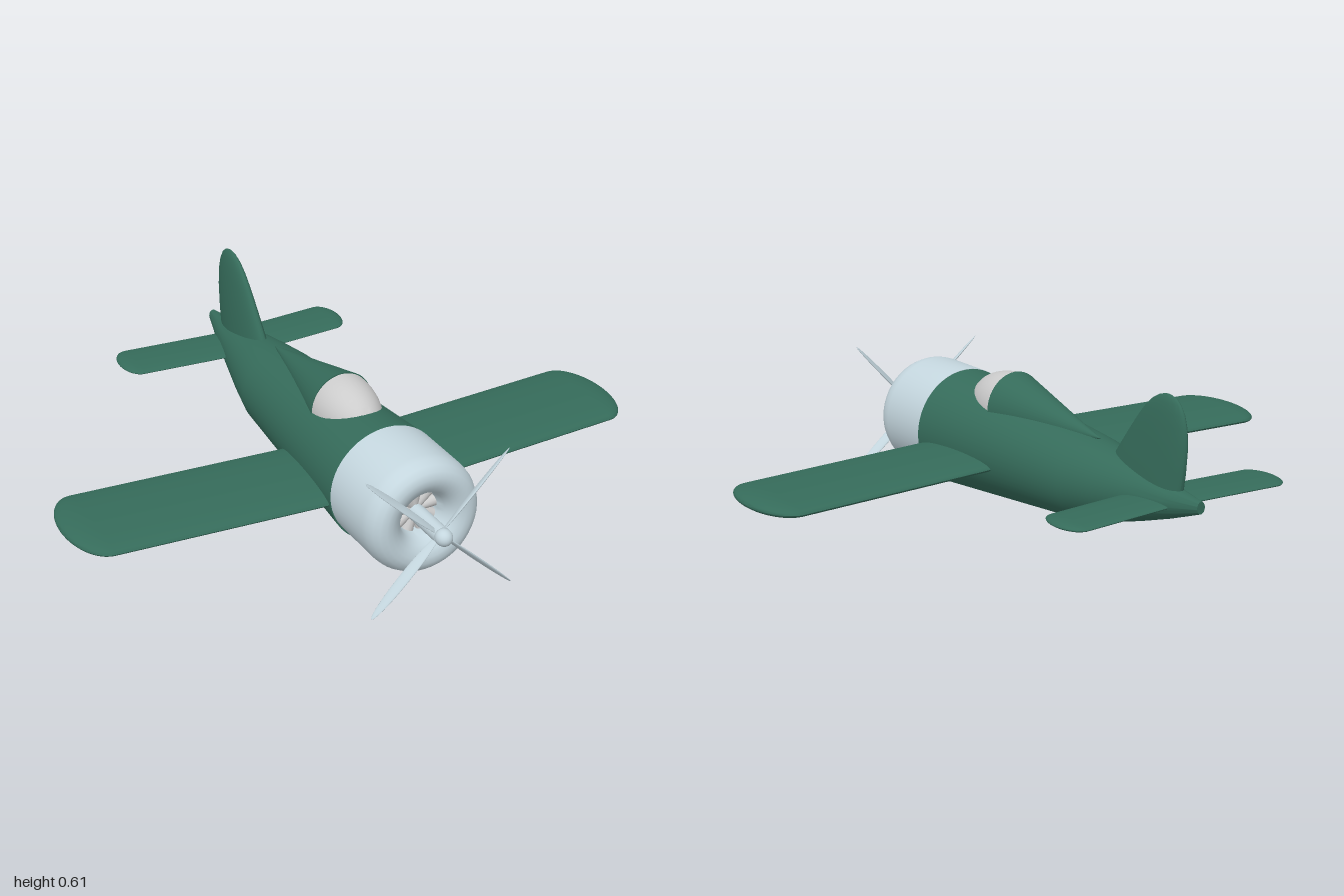
import * as THREE from 'three';
import { toCreasedNormals } from 'three/addons/utils/BufferGeometryUtils.js';

const material = (color, side = THREE.FrontSide) => new THREE.MeshStandardMaterial({ color, side });
const green = material(0x356b5a);
const metal = material(0xc4d6de, THREE.DoubleSide);
const grey = material(0xcccccc);

// Lofts ellipses along an axis: sections are [t, centreU, centreV, radiusU, radiusV],
// t increasing, with (u, v, axis) in cyclic order; both ends are capped.
function loft(axis, sections, sides = 40) {
  const first = sections[0], last = sections[sections.length - 1];
  const rings = [[first[0], first[1], first[2], 0, 0], ...sections, [last[0], last[1], last[2], 0, 0]];
  const positions = [], index = [];
  rings.forEach(([t, cu, cv, ru, rv], i) => {
    for (let j = 0; j < sides; j++) {
      const a = (j / sides) * Math.PI * 2;
      const u = cu + ru * Math.cos(a), v = cv + rv * Math.sin(a);
      positions.push(...{ x: [t, u, v], y: [v, t, u], z: [u, v, t] }[axis]);
      if (i === rings.length - 1) continue;
      const p = i * sides + j, q = i * sides + (j + 1) % sides;
      index.push(p, q, q + sides, p, q + sides, p + sides);
    }
  });
  const geometry = new THREE.BufferGeometry();
  geometry.setAttribute('position', new THREE.Float32BufferAttribute(positions, 3));
  geometry.setIndex(index);
  return toCreasedNormals(geometry, 0.7);
}

function add(parent, name, geometry, mat) {
  const mesh = new THREE.Mesh(geometry, mat);
  mesh.name = name;
  parent.add(mesh);
  return mesh;
}

// Swept surface spanning both sides, with elliptical section and rounded tips
function wingGeometry(span, tip, y, thickness, z, sweep, chord) {
  const half = [];
  for (let i = 0; i <= 12; i++) {
    const a = (i / 12) * Math.PI / 2, c = Math.cos(a);
    half.push([span - tip + tip * Math.sin(a), y, z - sweep * (span - tip), thickness / 2 * c, chord / 2 * c]);
  }
  const mirrored = half.map(([x, ...rest]) => [-x, ...rest]).reverse();
  return loft('x', [...mirrored, [0, y, z, thickness / 2, chord / 2], ...half]);
}

export function createModel() {
  const plane = new THREE.Group();
  plane.name = 'airplane';

  add(plane, 'fuselage', loft('z', [
    [-0.83, 0, 0.304, 0.015, 0.02],
    [-0.7, 0, 0.288, 0.05, 0.052],
    [-0.55, 0, 0.277, 0.087, 0.09],
    [-0.42, 0, 0.268, 0.118, 0.118],
    [-0.29, 0, 0.261, 0.145, 0.14],
    [0.44, 0, 0.2625, 0.2, 0.2025],
  ], 48), green);

  add(plane, 'wing', wingGeometry(1, 0.1, 0.232, 0.054, 0.252, 0.068, 0.385), green);
  add(plane, 'tailplane', wingGeometry(0.43, 0.055, 0.283, 0.026, -0.627, 0.08, 0.187), green)
    .position.x = -0.01;

  // Tail fin: [height, front z, back z, half thickness]
  const fin = [
    [0.3, -0.37, -0.735, 0.042], [0.385, -0.415, -0.75, 0.038], [0.47, -0.478, -0.759, 0.031],
    [0.53, -0.525, -0.756, 0.025], [0.57, -0.56, -0.745, 0.02], [0.6, -0.595, -0.727, 0.014],
    [0.617, -0.627, -0.705, 0.008], [0.624, -0.655, -0.68, 0.003],
  ];
  add(plane, 'tailFin', loft('y', fin.map(([y, f, b, w]) => [y, (f + b) / 2, 0, (f - b) / 2, w])), green);

  // Cockpit: rounded canopy in front of a tapering fairing
  const canopy = [];
  for (let i = 0; i <= 14; i++) {
    const a = (i / 14) * Math.PI / 2, c = Math.cos(a);
    canopy.push([0.145 + 0.2 * Math.sin(a), 0, 0.4, 0.109 * c, 0.116 * c]);
  }
  add(plane, 'canopy', loft('z', canopy), grey);
  add(plane, 'canopyFairing', loft('z', [
    [-0.33, 0, 0.402, 0.001, 0.001], [0.146, 0, 0.4, 0.112, 0.12],
  ]), green);

  // Cowling with rounded lip and a funnel-shaped intake
  const profile = [
    [0.17, 0.44], [0.198, 0.44], [0.198, 0.64], [0.195, 0.665], [0.185, 0.69], [0.17, 0.707], [0.15, 0.715],
    [0.13, 0.714], [0.11, 0.706], [0.093, 0.692], [0.08, 0.67], [0.073, 0.64], [0.071, 0.58],
  ].map(([r, z]) => new THREE.Vector2(r, z));
  const cowling = toCreasedNormals(new THREE.LatheGeometry(profile, 48).rotateX(Math.PI / 2), 0.8);
  add(plane, 'cowling', cowling, metal).position.y = 0.268;

  // Radial engine inside the intake
  const engine = new THREE.Group();
  engine.name = 'engine';
  engine.position.set(0, 0.268, 0.6);
  plane.add(engine);
  add(engine, 'engineBlock', new THREE.CylinderGeometry(0.072, 0.072, 0.03, 32).rotateX(Math.PI / 2), grey);
  for (let i = 0; i < 9; i++) {
    const cylinder = new THREE.CylinderGeometry(0.02, 0.014, 0.05, 12).translate(0, 0.045, 0.02);
    add(engine, 'engineCylinder', cylinder, grey).rotation.z = (i / 9) * Math.PI * 2;
  }

  // Propeller: shaft, spinner and four pitched blades, turned slightly off axis
  const propeller = new THREE.Group();
  propeller.name = 'propeller';
  propeller.position.set(0, 0.26, 0.777);
  plane.add(propeller);
  add(propeller, 'shaft', new THREE.CylinderGeometry(0.028, 0.028, 0.19, 24).rotateX(Math.PI / 2), metal)
    .position.z = -0.085;
  add(propeller, 'spinner', new THREE.SphereGeometry(0.028, 24, 16).scale(1, 1, 1.1), metal)
    .position.z = 0.022;
  const blades = new THREE.Group();
  blades.name = 'blades';
  blades.rotation.set(-0.035, -0.09, 0);
  propeller.add(blades);
  for (let i = 0; i < 4; i++) {
    const blade = new THREE.SphereGeometry(1, 20, 20)
      .scale(0.019, 0.168, 0.005).rotateY(1.15).translate(0, 0.17, 0);
    add(blades, 'blade', blade, metal).rotation.z = THREE.MathUtils.degToRad(-43 + i * 90);
  }

  return plane;
}
